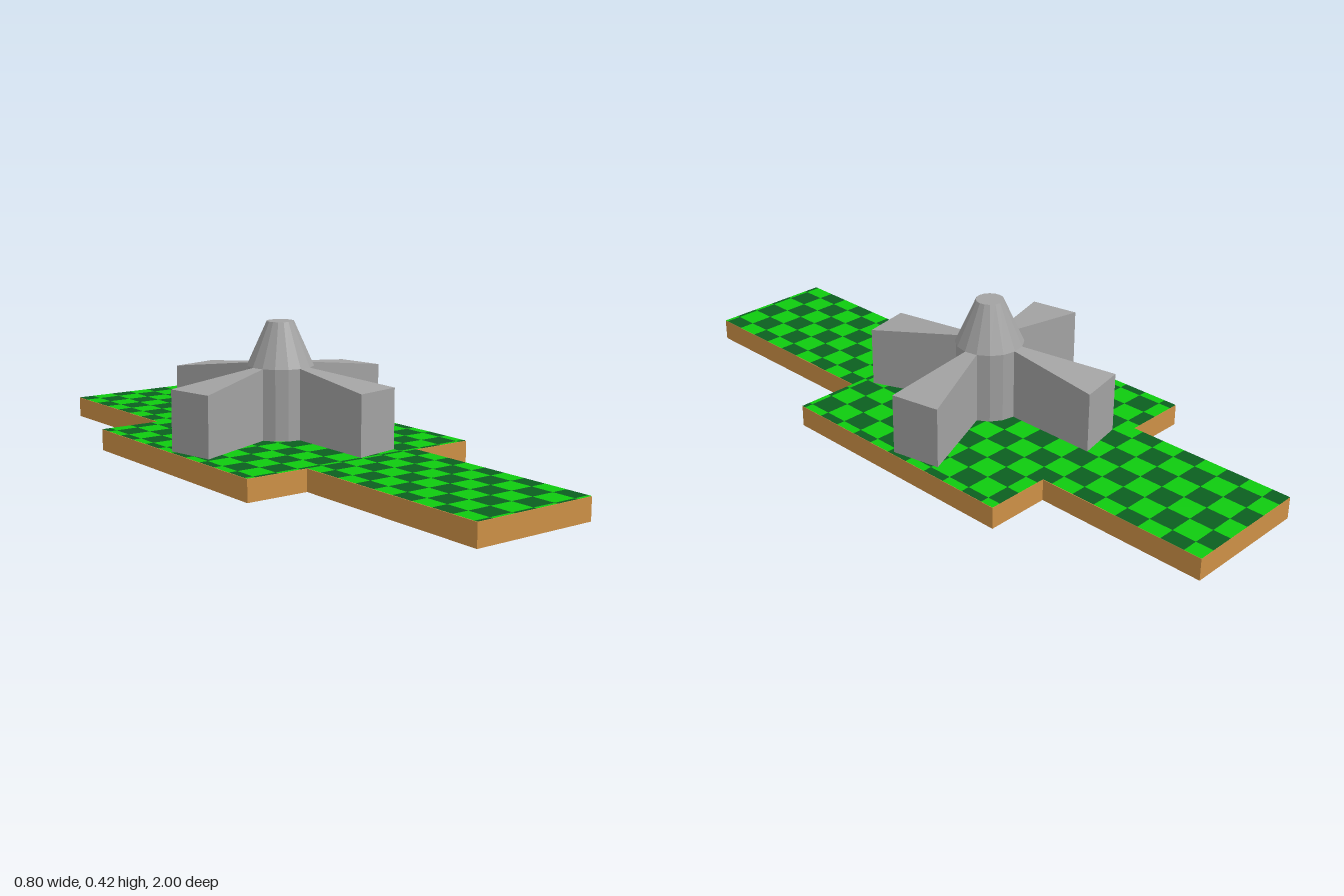
import * as THREE from 'three';

const DECK = 0.067;    // height of the base
const HUB_Z = -0.067;  // centre of the hub
const CELL = 0.0744;   // checker size
const STEP = Math.PI / 8;

function material(name, color, flatShading = false) {
  const m = new THREE.MeshStandardMaterial({ color, flatShading });
  m.name = name;
  return m;
}

function addMesh(parent, name, geometry, mat) {
  const mesh = new THREE.Mesh(geometry, mat);
  mesh.name = name;
  parent.add(mesh);
  return mesh;
}

// Upward-facing checker cells of one shade, clipped to a rectangle
function checkerGeometry(regions, wantDark) {
  const pos = [];
  for (const { x0, x1, z0, z1, phase } of regions) {
    for (let i = -6; i < 6; i++) {
      for (let k = -1; k < 28; k++) {
        const dark = (i + k + phase + 64) % 2 === 0;
        if (dark !== wantDark) continue;
        const a = Math.max(x0, i * CELL), b = Math.min(x1, (i + 1) * CELL);
        const c = Math.max(z0, 0.989 - (k + 1) * CELL), d = Math.min(z1, 0.989 - k * CELL);
        if (b <= a || d <= c) continue;
        pos.push(a, DECK, c, a, DECK, d, b, DECK, d);
        pos.push(a, DECK, c, b, DECK, d, b, DECK, c);
      }
    }
  }
  const g = new THREE.BufferGeometry();
  g.setAttribute('position', new THREE.Float32BufferAttribute(pos, 3));
  g.computeVertexNormals();
  return g;
}

// Wedge wall: a box bent into a slice of a ring, with its top sloping outward
function bladeGeometry() {
  const g = new THREE.BoxGeometry(1, 1, 1);
  const p = g.attributes.position;
  for (let i = 0; i < p.count; i++) {
    const outer = p.getZ(i) > 0;
    const r = outer ? 0.389 : 0.1;
    const angle = p.getX(i) > 0 ? STEP : 0;
    const y = p.getY(i) < 0 ? DECK : outer ? 0.25 : 0.285;
    p.setXYZ(i, r * Math.sin(angle), y, r * Math.cos(angle));
  }
  g.computeVertexNormals();
  return g;
}

export function createModel() {
  const model = new THREE.Group();
  model.name = 'windmillObstacle';

  const earth = material('earth', 0xcd9046);
  const lightGrass = material('lightGrass', 0x0fcb0f);
  const darkGrass = material('darkGrass', 0x0b5f20);
  const stone = material('stone', 0xa2a2a2, true);

  // Cross-shaped base
  const half = [[0.2, 1], [0.2, 0.333], [0.4, 0.333], [0.4, -0.467], [0.2, -0.467], [0.2, -1]];
  const outline = [...half, ...half.map(([x, z]) => [-x, z]).reverse()];
  const shape = new THREE.Shape(outline.map(([x, z]) => new THREE.Vector2(x, -z)));
  const baseGeometry = new THREE.ExtrudeGeometry(shape, { depth: DECK - 0.001, bevelEnabled: false });
  baseGeometry.rotateX(-Math.PI / 2);
  addMesh(model, 'base', baseGeometry, earth);

  // Checkered grass on front strip, middle square and back strip
  const regions = [
    { x0: -0.2, x1: 0.2, z0: 0.333, z1: 1, phase: 0 },
    { x0: -0.4, x1: 0.4, z0: -0.467, z1: 0.333, phase: 1 },
    { x0: -0.2, x1: 0.2, z0: -1, z1: -0.467, phase: 1 },
  ];
  addMesh(model, 'lightGrassCells', checkerGeometry(regions, false), lightGrass);
  addMesh(model, 'darkGrassCells', checkerGeometry(regions, true), darkGrass);

  // Hub with tapered cap
  const tower = new THREE.Group();
  tower.name = 'tower';
  tower.position.z = HUB_Z;
  model.add(tower);
  const hub = addMesh(tower, 'hub', new THREE.CylinderGeometry(0.1, 0.1, 0.285 - DECK, 16), stone);
  hub.position.y = (0.285 + DECK) / 2;
  const cap = addMesh(tower, 'cap', new THREE.CylinderGeometry(0.042, 0.103, 0.135, 16), stone);
  cap.position.y = 0.3525;

  // Four wedge blades around the hub
  const blade = bladeGeometry();
  for (let i = 0; i < 4; i++) {
    addMesh(tower, 'blade' + (i + 1), blade, stone).rotation.y = i * Math.PI / 2;
  }

  return model;
}
